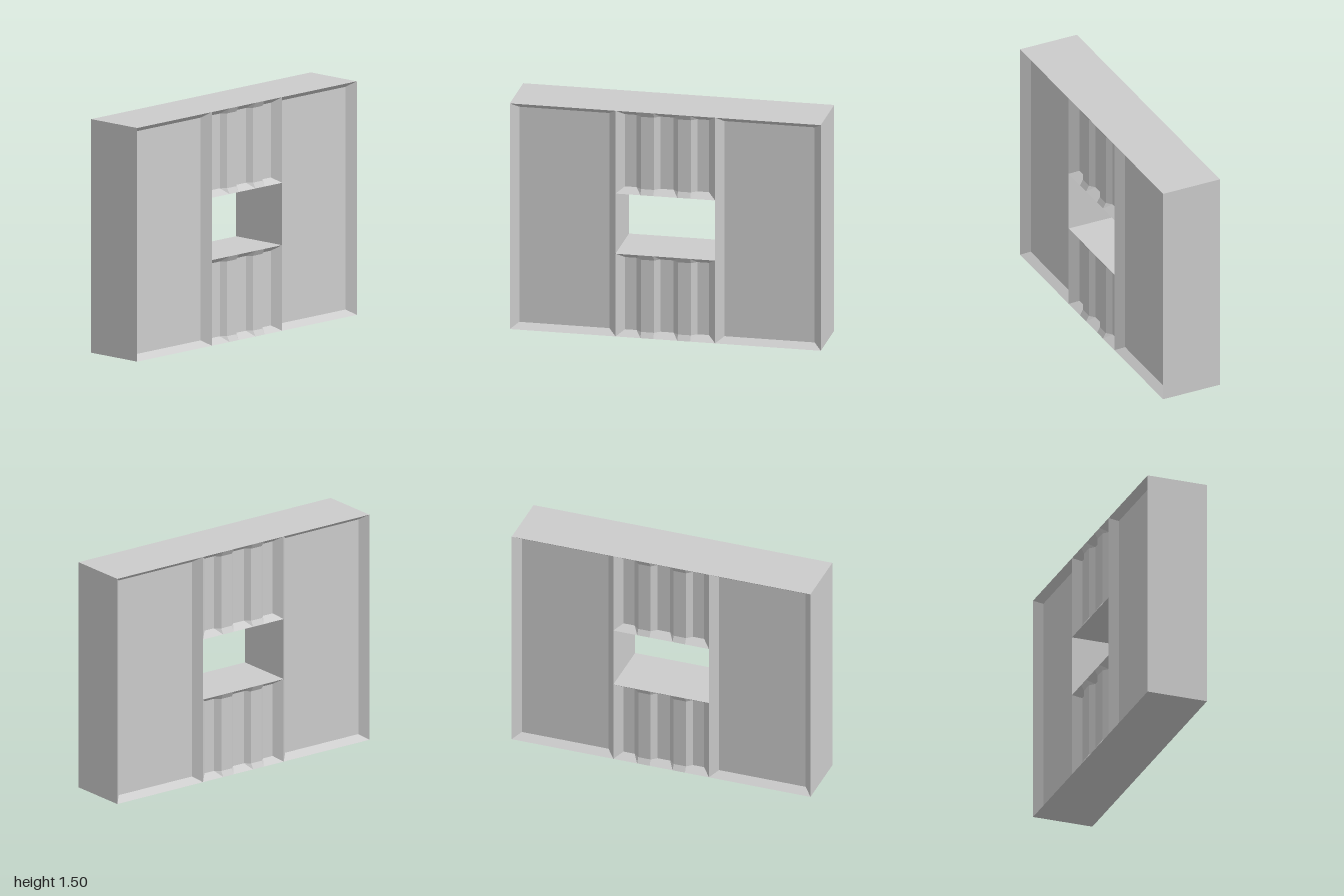
import * as THREE from 'three';

const W = 1, H = 1.5, Z = 0.2;              // half width, height, half depth
const GAP = 0.32, LOW = 0.55, HIGH = 0.95;  // window opening
const DEEP = 0.05, RIDGE = 0.02;            // recess depth of floor and of ridges
const INSET_X = 0.05, INSET_Y = 0.035;      // bevel widths

const stone = new THREE.MeshStandardMaterial({ color: 0xcccccc });
stone.name = 'grey stone';

// Flat-shaded mesh from a list of four-cornered faces, skipping collapsed halves
function quadMesh(name, quads) {
  const pos = [];
  const tri = (a, b, c) => {
    const t = new THREE.Triangle(...[a, b, c].map((p) => new THREE.Vector3(...p)));
    if (t.getArea() > 1e-8) pos.push(...a, ...b, ...c);
  };
  for (const [a, b, c, d] of quads) {
    tri(a, b, c);
    tri(a, c, d);
  }
  const geo = new THREE.BufferGeometry();
  geo.setAttribute('position', new THREE.Float32BufferAttribute(pos, 3));
  geo.computeVertexNormals();
  const mesh = new THREE.Mesh(geo, stone);
  mesh.name = name;
  return mesh;
}

// Walls that follow a closed loop of [x, y] corners through the full depth
function walls(name, loop) {
  return quadMesh(name, loop.map(([x, y], i) => {
    const [u, v] = loop[(i + 1) % loop.length];
    return [[x, y, -Z], [u, v, -Z], [u, v, Z], [x, y, Z]];
  }));
}

// Sunken panel with bevelled edges; profile rows are [x, depth, x on the rim]
function panel(name, x0, x1, y0, y1, profile) {
  const yb = y0 + INSET_Y, yt = y1 - INSET_Y;
  const inner = (p, y) => [p[0], y, Z - p[1]];
  const rim = (p, y) => [p[2], y, Z];
  const quads = [];
  for (let i = 0; i < profile.length - 1; i++) {
    const p = profile[i], q = profile[i + 1];
    quads.push([inner(p, yb), inner(q, yb), inner(q, yt), inner(p, yt)]);
    quads.push([rim(p, y0), rim(q, y0), inner(q, yb), inner(p, yb)]);
    quads.push([inner(p, yt), inner(q, yt), rim(q, y1), rim(p, y1)]);
  }
  const first = profile[0], last = profile[profile.length - 1];
  quads.push([[x0, y0, Z], inner(first, yb), inner(first, yt), [x0, y1, Z]]);
  quads.push([inner(last, yb), [x1, y0, Z], [x1, y1, Z], inner(last, yt)]);
  return quadMesh(name, quads);
}

const plain = (x0, x1) => [[x0 + INSET_X, DEEP, x0], [x1 - INSET_X, DEEP, x1]];

// Two raised vertical ridges, mirrored about the middle
const halfRidges = [
  [0.043, DEEP, 0.077], [0.077, RIDGE, 0.077],
  [0.16, RIDGE, 0.16], [0.195, DEEP, 0.16],
  [GAP - INSET_X, DEEP, GAP],
];
const ridged = [
  ...halfRidges.map(([x, d, r]) => [-x, d, -r]).reverse(),
  ...halfRidges,
];

function createFace(name) {
  const face = new THREE.Group();
  face.name = name;
  face.add(
    panel('rightPanel', -W, -GAP, 0, H, plain(-W, -GAP)),
    panel('leftPanel', GAP, W, 0, H, plain(GAP, W)),
    panel('lowerRidgedPanel', -GAP, GAP, 0, LOW, ridged),
    panel('upperRidgedPanel', -GAP, GAP, HIGH, H, ridged),
  );
  return face;
}

export function createModel() {
  const model = new THREE.Group();
  model.name = 'wallWithWindow';
  model.add(walls('outerWalls', [[-W, 0], [W, 0], [W, H], [-W, H]]));
  model.add(walls('windowOpening', [[-GAP, LOW], [-GAP, HIGH], [GAP, HIGH], [GAP, LOW]]));
  const back = createFace('backFace');
  back.rotation.y = Math.PI;
  model.add(createFace('frontFace'), back);
  return model;
}
